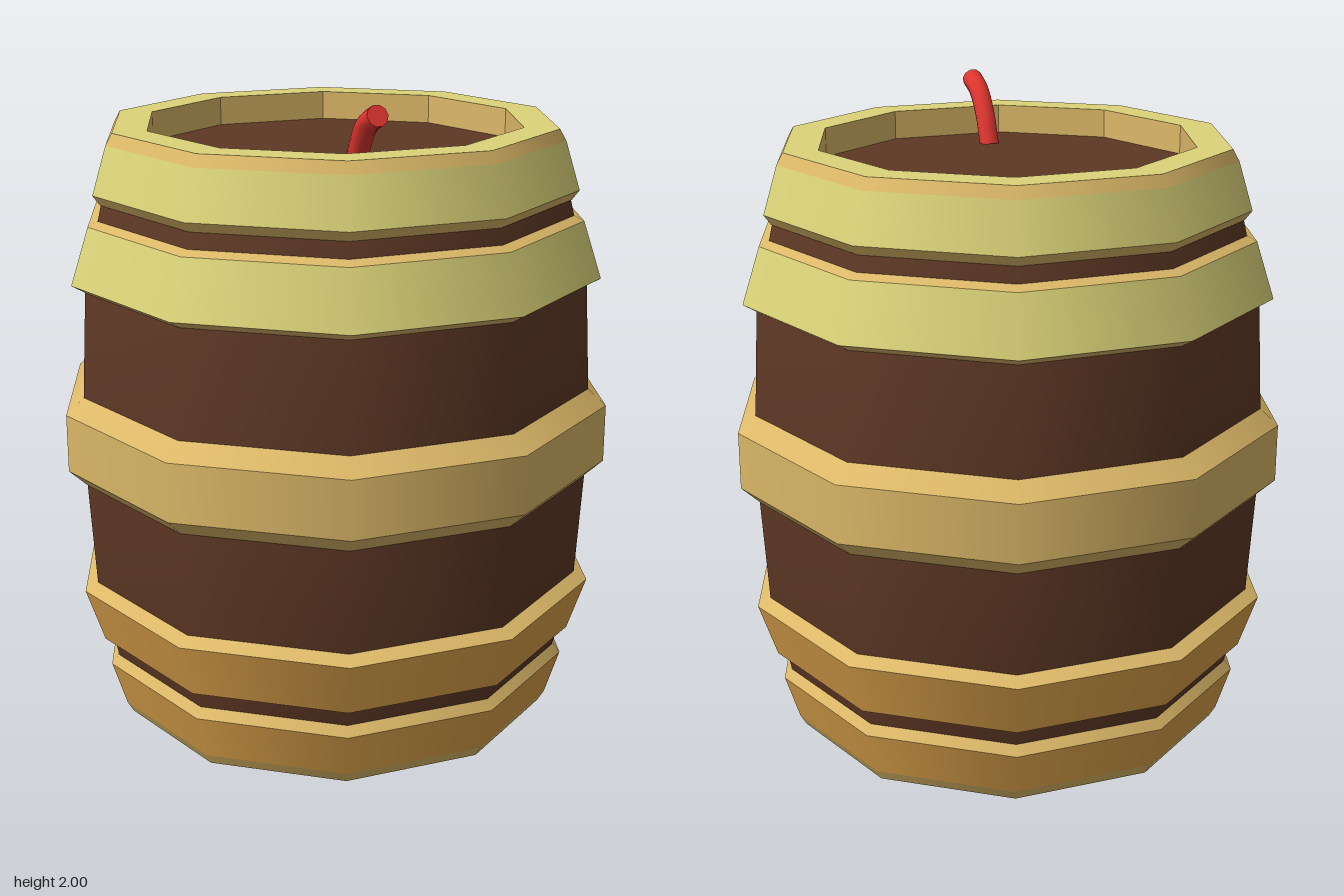
import * as THREE from 'three';
import { mergeGeometries } from 'three/addons/utils/BufferGeometryUtils.js';

const SIDES = 10;
const HEIGHT = 1.875;

const material = (name, color) => {
  const m = new THREE.MeshStandardMaterial({ color });
  m.name = name;
  return m;
};

// Ten-sided lathe with a corner on the x axis; points run upward for outward faces
const lathe = (points) =>
  new THREE.LatheGeometry(points.map(([r, y]) => new THREE.Vector2(r, y)), SIDES, Math.PI / 2);

// Each profile segment gets its own normals, so hoop edges stay sharp
const sharpLathe = (segments) => mergeGeometries(segments.map(lathe));

// Same profile turned upside down
const flip = (points) => points.map(([r, y]) => [r, HEIGHT - y]).reverse();

export function createModel() {
  const group = new THREE.Group();
  const wood = material('dark brown wood', 0x5e3825);
  const yellow = material('pale yellow', 0xdcd479);
  const tan = material('tan', 0xdcb868);
  const orange = material('golden orange', 0xdca24a);
  const red = material('red', 0xe0352f);

  const add = (name, geometry, mat, parent = group) => {
    const mesh = new THREE.Mesh(geometry, mat);
    mesh.name = name;
    parent.add(mesh);
    return mesh;
  };

  // Bulging staves
  const lowerHalf = [[0.7, 0.08], [0.735, 0.22], [0.79, 0.45], [0.81, 0.8]];
  add('staves', lathe([...lowerHalf, ...flip(lowerHalf)]), wood);

  // Hoop: painted outer face with tan bevels above and below
  const addHoop = (name, [a, b, c, d], mat) => {
    const hoop = new THREE.Group();
    hoop.name = name;
    add(name + 'Face', lathe([b, c]), mat, hoop);
    add(name + 'Bevels', sharpLathe([[a, b], [c, d]]), tan, hoop);
    group.add(hoop);
  };
  const rimHoop = [[0.735, 1.665], [0.757, 1.695], [0.712, 1.84], [0.692, HEIGHT]];
  const shoulderHoop = [[0.79, 1.405], [0.832, 1.43], [0.775, 1.603], [0.735, 1.622]];
  const middleHoop = [[0.81, 0.797], [0.866, 0.85], [0.866, 1.03], [0.81, 1.08]];
  addHoop('topRimHoop', rimHoop, yellow);
  addHoop('upperHoop', shoulderHoop, yellow);
  addHoop('middleHoop', middleHoop, tan);
  addHoop('lowerHoop', flip(shoulderHoop), orange);
  addHoop('bottomRimHoop', flip(rimHoop), orange);

  // Flat rim, inner wall and recessed lid at each end
  const rim = [[0.692, HEIGHT], [0.585, HEIGHT]];
  const wall = [[0.585, HEIGHT], [0.585, 1.785]];
  const lid = [[0.585, 1.785], [0, 1.785]];
  for (const [end, turn] of [['top', (p) => p], ['bottom', flip]]) {
    add(end + 'Rim', lathe(turn(rim)), yellow);
    const wallGeometry = lathe(turn(wall)).toNonIndexed();
    wallGeometry.computeVertexNormals();
    add(end + 'InnerWall', wallGeometry, tan);
    add(end + 'Lid', lathe(turn(lid)), wood);
  }

  // Curved fuse with a flat tip
  const path = new THREE.CatmullRomCurve3([
    [1.775, 0.382], [1.87, 0.424], [1.94, 0.482], [1.972, 0.552],
  ].map(([y, z]) => new THREE.Vector3(-0.085, y, z)));
  add('fuse', new THREE.TubeGeometry(path, 12, 0.032, 10), red);
  const tip = add('fuseTip', new THREE.CircleGeometry(0.032, 10), red);
  tip.position.copy(path.getPoint(1));
  tip.quaternion.setFromUnitVectors(new THREE.Vector3(0, 0, 1), path.getTangent(1));

  return group;
}
